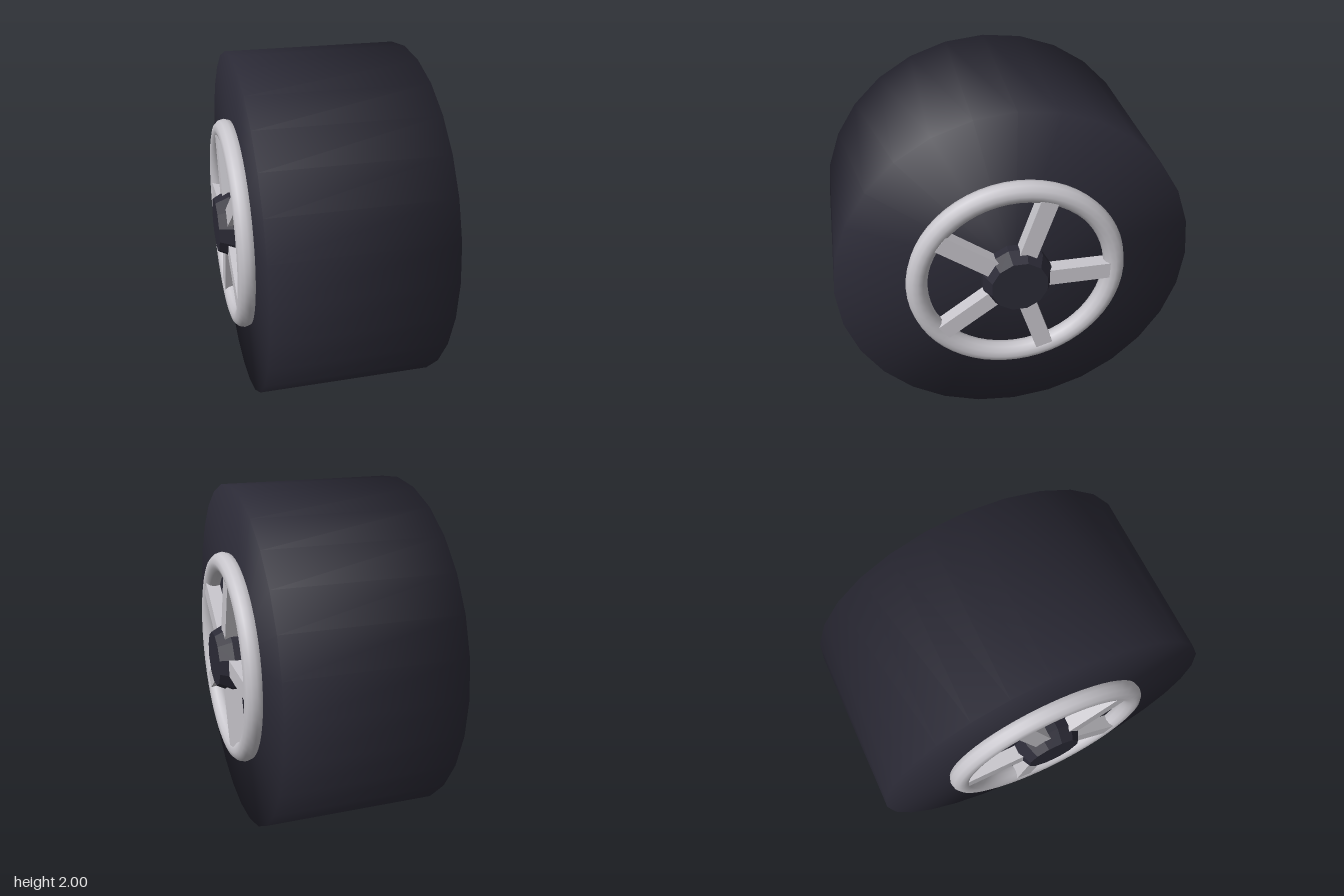
import * as THREE from 'three';

const rubber = new THREE.MeshStandardMaterial({ color: 0x2b2a36 });
rubber.name = 'dark rubber';
const metal = new THREE.MeshStandardMaterial({ color: 0xc8c6cc });
metal.name = 'light metal';
const hubPaint = new THREE.MeshStandardMaterial({ color: 0x2b2a36, flatShading: true });
hubPaint.name = 'dark hub paint';

function add(parent, name, geometry, material) {
  const mesh = new THREE.Mesh(geometry, material);
  mesh.name = name;
  parent.add(mesh);
  return mesh;
}

// Rim ring, five spokes and hub cap; s is +1 for the left face, -1 for the right
function wheelFace(s) {
  const face = new THREE.Group();
  face.name = s > 0 ? 'leftWheelFace' : 'rightWheelFace';

  const rim = add(face, 'rim', new THREE.TorusGeometry(0.557, 0.06, 12, 56), metal);
  rim.rotation.y = Math.PI / 2;
  rim.position.x = s * 0.53;

  // The first spoke points straight back, the rest follow every 72 degrees
  for (let i = 0; i < 5; i++) {
    const bar = new THREE.BoxGeometry(0.12, 0.1, 0.42).translate(s * 0.522, 0, -0.315);
    add(face, 'spoke' + (i + 1), bar, metal).rotation.x = (i * 2 * Math.PI) / 5;
  }

  // Tapered hub with a flat facet on top
  const cap = new THREE.CylinderGeometry(0.16, 0.2, 0.08, 12, 1, false, Math.PI / 12);
  const base = new THREE.CylinderGeometry(0.2, 0.2, 0.07, 12, 1, true, Math.PI / 12);
  for (const [name, geo, x] of [['hubCap', cap, 0.59], ['hubBase', base, 0.515]]) {
    const hub = add(face, name, geo, hubPaint);
    hub.rotation.z = -s * Math.PI / 2;
    hub.position.x = s * x;
  }
  return face;
}

export function createModel() {
  const model = new THREE.Group();
  model.name = 'wheel';

  // Wide tyre with shading that runs softly over its shoulders
  const profile = [[0, -0.5], [1, -0.5], [1, 0.5], [0, 0.5]].map(([r, h]) => new THREE.Vector2(r, h));
  const tyre = add(model, 'tyre', new THREE.LatheGeometry(profile, 28), rubber);
  tyre.rotation.z = -Math.PI / 2;

  model.add(wheelFace(1), wheelFace(-1));
  for (const part of model.children) part.position.y = 1;
  return model;
}
